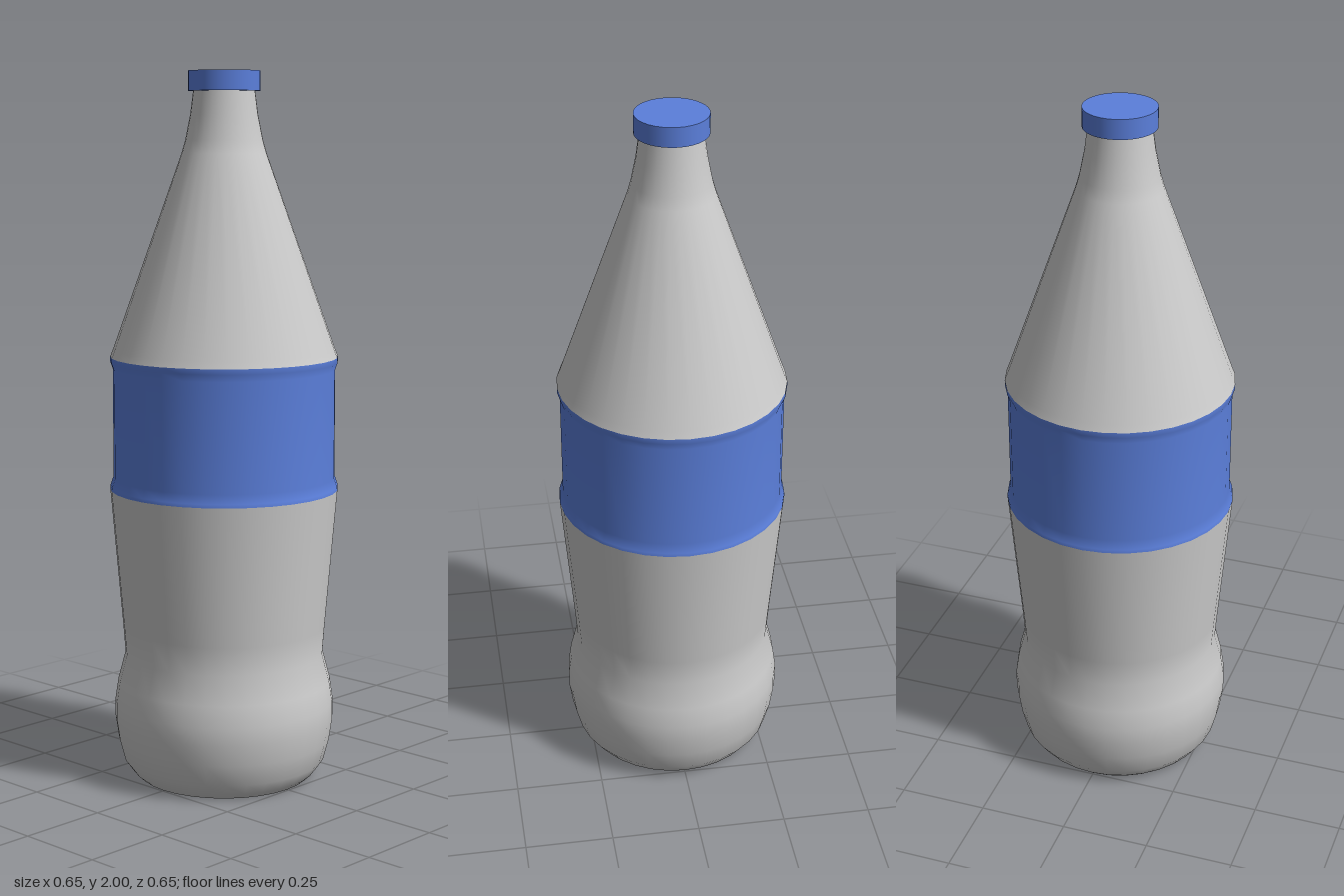
import * as THREE from 'three';

const SEGMENTS = 32;
const grey = new THREE.MeshStandardMaterial({ color: 0xcccccc, side: THREE.DoubleSide });
const blue = new THREE.MeshStandardMaterial({ color: 0x5b7fdb, side: THREE.DoubleSide });

// Revolve a list of [radius, height] points, from bottom to top
function turned(name, points, material) {
  const profile = points.map(([r, y]) => new THREE.Vector2(r, y));
  const mesh = new THREE.Mesh(new THREE.LatheGeometry(profile, SEGMENTS), material);
  mesh.name = name;
  return mesh;
}

export function createModel() {
  const bottle = new THREE.Group();
  bottle.name = 'bottle';

  // Flat foot
  bottle.add(turned('base', [[0, 0], [0.245, 0]], grey));

  // Bulging foot, pinched waist and flared grip
  bottle.add(turned('lowerBody', [
    [0.245, 0], [0.262, 0.015], [0.288, 0.05], [0.304, 0.11], [0.313, 0.17], [0.313, 0.22],
    [0.304, 0.28], [0.283, 0.36], [0.289, 0.44], [0.323, 0.835],
  ], grey));

  // Label band, set in between its two flared edges
  bottle.add(turned('label', [
    [0.323, 0.835], [0.322, 0.845], [0.313, 0.87], [0.313, 1.175], [0.32, 1.195], [0.32, 1.21],
  ], blue));

  // Tapering shoulder and neck
  bottle.add(turned('shoulder', [
    [0.32, 1.21], [0.312, 1.23], [0.118, 1.775], [0.108, 1.81], [0.094, 1.88], [0.085, 1.95],
  ], grey));

  // Screw cap
  const cap = new THREE.Mesh(new THREE.CylinderGeometry(0.1, 0.1, 0.055, SEGMENTS), blue);
  cap.name = 'cap';
  cap.position.y = 1.9725;
  bottle.add(cap);

  return bottle;
}
